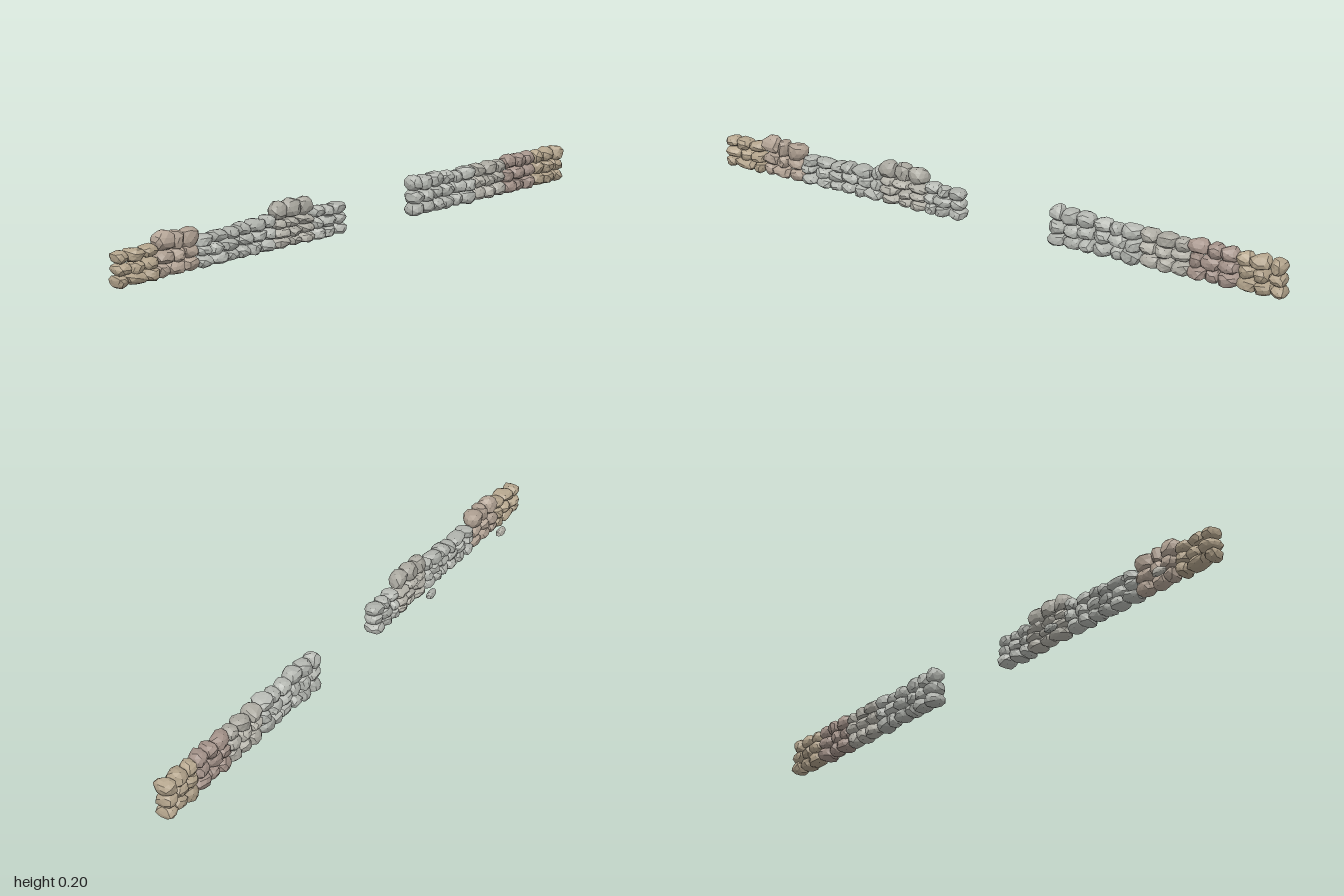
import * as THREE from 'three';

const SLOPE = -0.919;                       // both walls lie on the line z = SLOPE * x
const ANGLE = Math.atan2(-SLOPE, 1);        // turn that lays a stone along the wall
const STRETCH = Math.hypot(1, SLOPE);       // wall length per unit of x

const TAN = 0xb3a48c, BROWN = 0xb0a193, RUSSET = 0xa39289;
const GREY = 0xb3b6b0, WARM = 0xb1afa6;

// sections of wall: x start, x end, height, colour, stones per course
const WALLS = {
  longWall: [
    [-0.985, -0.835, 0.145, TAN, 3], [-0.835, -0.68, 0.178, BROWN, 3],
    [-0.68, -0.525, 0.14, GREY, 3], [-0.525, -0.38, 0.15, GREY, 3],
    [-0.38, -0.215, 0.19, WARM, 3], [-0.215, -0.079, 0.143, GREY, 3],
  ],
  shortWall: [
    [0.226, 0.375, 0.168, GREY, 3], [0.375, 0.53, 0.162, GREY, 3],
    [0.53, 0.685, 0.162, WARM, 3], [0.685, 0.84, 0.166, RUSSET, 3],
    [0.84, 0.985, 0.165, TAN, 3],
  ],
};

let seed = 7;
function rand(a, b) {
  seed = (seed * 16807) % 2147483647;
  return a + (b - a) * (seed / 2147483647);
}

// faceted boulder: a ball squared off towards a block, then roughened
function stone(name, hx, hy, hz, color) {
  const geo = new THREE.IcosahedronGeometry(1, 1);
  const p = geo.attributes.position, v = new THREE.Vector3();
  geo.rotateX(rand(0, 6)).rotateY(rand(0, 6));
  const phase = rand(0, 20);
  for (let i = 0; i < p.count; i++) {
    v.fromBufferAttribute(p, i);
    const norm = Math.pow(Math.abs(v.x) ** 2.7 + Math.abs(v.y) ** 2.7 + Math.abs(v.z) ** 2.7, 1 / 2.7);
    const rough = 1.02 + 0.11 * Math.sin(v.x * 3.1 + phase) * Math.cos(v.z * 2.7 + phase * 2)
      + 0.07 * Math.sin(v.y * 4 + v.x * 2 + phase * 3);
    v.multiplyScalar(rough / norm);
    p.setXYZ(i, v.x * hx, v.y * hy, v.z * hz);
  }
  geo.computeVertexNormals();
  const tint = new THREE.Color(color).multiplyScalar(rand(0.9, 1.1));
  const mesh = new THREE.Mesh(geo, new THREE.MeshStandardMaterial({ color: tint, flatShading: true }));
  mesh.name = name;
  return mesh;
}

function buildWall(name, sections, base) {
  const wall = new THREE.Group();
  wall.name = name;
  for (const [x0, x1, top, color, count] of sections) {
    // three courses, the upper one taking up any extra height; a fourth where the wall is high
    const rows = top > 0.185 ? 4 : 3;
    const spare = Math.max(0, top - 0.16);
    const rowHeight = (top - spare - base) / rows;
    for (let r = 0; r < rows; r++) {
      const h = rowHeight + (r === rows - 1 ? spare : 0);
      const y = base + r * rowHeight + h / 2;
      // uneven joints between the stones of one course
      const cuts = [];
      for (let i = 0; i <= count; i++) {
        const shift = i > 0 && i < count ? rand(-0.012, 0.012) : 0;
        cuts.push(x0 + ((x1 - x0) * i) / count + shift);
      }
      for (let i = 0; i < count; i++) {
        const x = (cuts[i] + cuts[i + 1]) / 2;
        const half = ((cuts[i + 1] - cuts[i]) / 2) * STRETCH;
        const s = stone('wallStone', half * 1.05, (h / 2) * 1.1, rand(0.034, 0.042), color);
        s.position.set(x, y + (r > 0 ? rand(-0.005, 0.005) : 0), SLOPE * x + rand(-0.004, 0.004));
        s.rotation.set(0, ANGLE + rand(-0.08, 0.08), rand(-0.1, 0.1));
        wall.add(s);
      }
    }
  }
  return wall;
}

export function createModel() {
  const model = new THREE.Group();
  model.name = 'dryStoneWalls';
  model.add(buildWall('longWall', WALLS.longWall, 0.014));
  model.add(buildWall('shortWall', WALLS.shortWall, 0.007));

  // small loose stones behind the long wall
  for (const [x, z, color] of [[-0.405, 0.275, GREY], [-0.855, 0.69, WARM]]) {
    const s = stone('looseStone', 0.031, 0.016, 0.015, color);
    s.position.set(x, 0.034, z);
    s.rotation.y = ANGLE;
    model.add(s);
  }
  return model;
}
